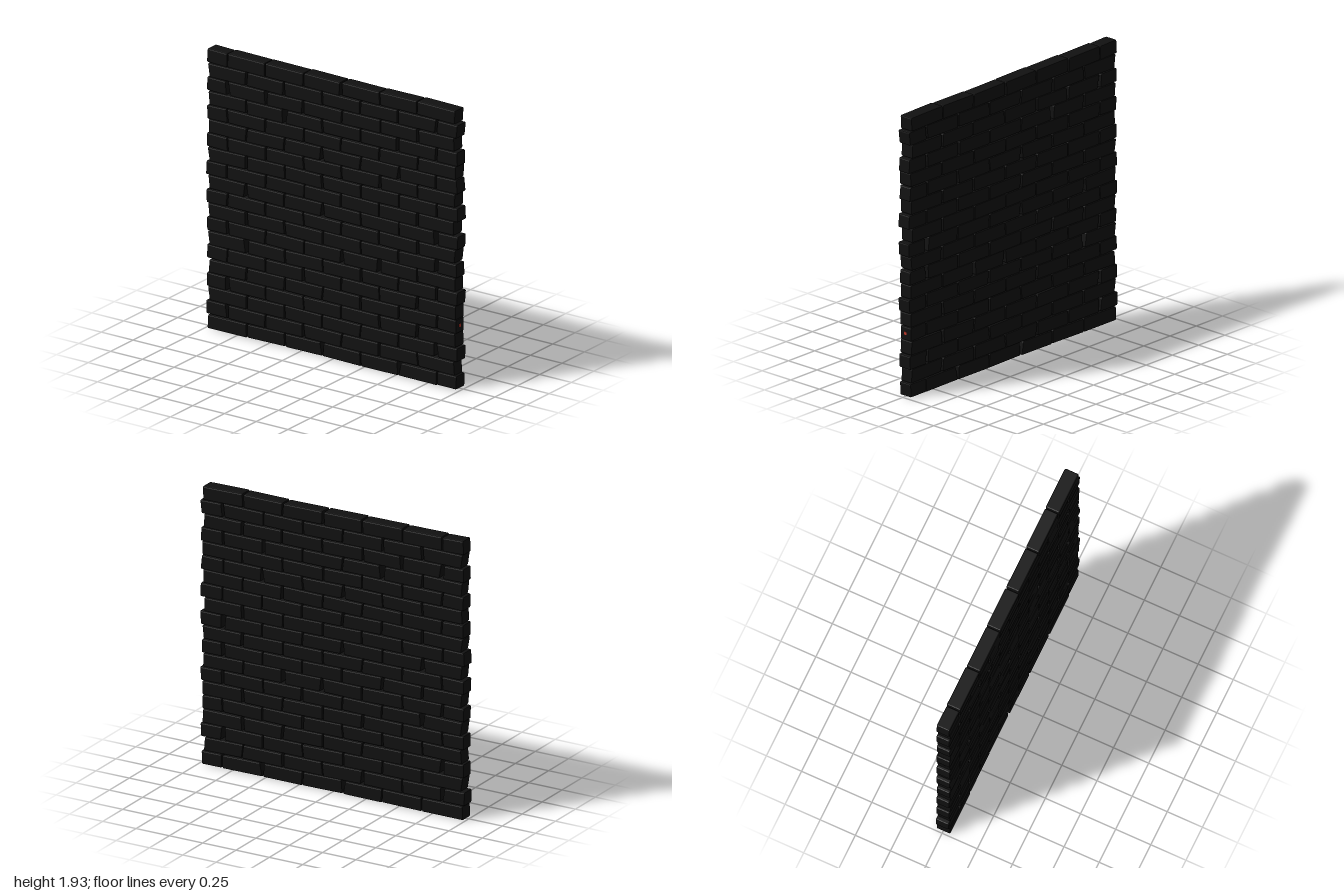
import * as THREE from 'three';
import { RoundedBoxGeometry } from 'three/addons/geometries/RoundedBoxGeometry.js';

const ROWS = 20, PITCH = 0.2995, COURSE = 0.0962, BASE = 0.008, DEPTH = 0.096;

// Wide open joints: row -> [joint index, gap at bottom, gap at top]
const openJoints = {
  1: [[2, 0.006, 0.03], [4, 0.004, 0.03]],
  2: [[0, 0.012, 0.025], [2, 0.02, 0.006], [4, 0.01, 0.014]],
  3: [[0, 0.01, 0.01], [5, 0.03, 0.016]],
  4: [[0, 0.03, 0.018], [5, 0.016, 0.016], [4, 0.01, 0.01]],
  5: [[1, 0.01, 0.004], [3, 0.01, 0.012]],
  6: [[2, 0.016, 0.01], [5, 0.018, 0.012]],
  7: [[0, 0.018, 0.036], [3, 0.012, 0.008], [5, 0.012, 0.012]],
  8: [[0, 0.016, 0.012], [3, 0.03, 0.008], [4, 0.03, 0.022]],
  9: [[0, 0.012, 0.012], [1, 0.014, 0.014], [5, 0.022, 0.022]],
  10: [[5, 0.018, 0.012]],
  11: [[0, 0.034, 0.008], [2, 0.03, 0.004], [5, 0.024, 0.032]],
  12: [[5, 0.014, 0.014]],
  13: [[0, 0.012, 0.012], [2, 0.012, 0.01]],
  14: [[4, 0.018, 0.01]],
  15: [[2, 0.03, 0.004], [4, 0.025, 0.004]],
  17: [[0, 0.014, 0.004], [1, 0.022, 0.04], [4, 0.016, 0.016], [5, 0.012, 0.012]],
  18: [[0, 0.028, 0.018], [1, 0.01, 0.026], [2, 0.014, 0.006], [5, 0.014, 0.014]],
  19: [[0, 0.01, 0.012], [1, 0.014, 0.008], [5, 0.014, 0.012]],
  20: [[3, 0.018, 0.008]],
};

// Seeded value in -1..1
let seed = 17;
function vary(amount) {
  seed = (seed * 16807) % 2147483647;
  return (seed / 2147483647 * 2 - 1) * amount;
}

// Bevelled brick; left and right are its slanted ends as { bottom, top }
function brickGeometry(left, right, y, height, depth) {
  const width = (right.bottom + right.top - left.bottom - left.top) / 2;
  const geometry = new RoundedBoxGeometry(width, height, depth, 1, 0.009);
  const p = geometry.attributes.position;
  const tilt = vary(0.0025);
  for (let i = 0; i < p.count; i++) {
    const u = p.getX(i) / width + 0.5, v = p.getY(i) / height + 0.5;
    const l = THREE.MathUtils.lerp(left.bottom, left.top, v);
    const r = THREE.MathUtils.lerp(right.bottom, right.top, v);
    p.setXY(i, THREE.MathUtils.lerp(l, r, u), y + p.getY(i) + tilt * (u - 0.5) * 2);
  }
  geometry.computeVertexNormals();
  return geometry;
}

export function createModel() {
  const wall = new THREE.Group();
  wall.name = 'brickWall';
  const stone = new THREE.MeshStandardMaterial({ color: 0x111111, flatShading: true });
  const red = new THREE.MeshStandardMaterial({ color: 0xc0392b });

  for (let row = 1; row <= ROWS; row++) {
    const course = new THREE.Group();
    course.name = 'course' + row;
    const odd = row % 2 === 1;
    const first = odd ? -0.677 : -0.826;
    const y = BASE + (row - 0.5) * COURSE;

    // Slanted ends of the bricks, from one side of the wall to the other
    const endL = odd ? -0.975 : -0.988, endR = odd ? 0.985 : 0.968;
    let left = { bottom: endL + vary(0.009), top: endL + vary(0.009) };
    for (let j = 0; j <= 6; j++) {
      let right, next;
      if (j < 6) {
        const open = (openJoints[row] || []).find((o) => o[0] === j) || [j, 0.004, 0.004];
        const x = first + j * PITCH;
        const b = x + vary(0.007), t = x + vary(0.007);
        right = { bottom: b - open[1] / 2, top: t - open[2] / 2 };
        next = { bottom: b + open[1] / 2, top: t + open[2] / 2 };
      } else if (row === 5) {
        right = { bottom: 0.974, top: 0.974 };
      } else {
        right = { bottom: endR + vary(0.01), top: endR + vary(0.01) };
      }
      const geometry = brickGeometry(left, right, y + vary(0.001), COURSE - 0.001 + vary(0.002), DEPTH + vary(0.004));
      const brick = new THREE.Mesh(geometry, stone);
      brick.name = 'brick';
      brick.position.z = vary(0.002);
      course.add(brick);
      left = next;
    }
    wall.add(course);
  }

  // Small red marker set in the end of the fifth course
  const marker = new THREE.Mesh(new THREE.BoxGeometry(0.02, 0.02, 0.02), red);
  marker.name = 'endMarker';
  marker.position.set(0.967, BASE + 4.5 * COURSE, 0);
  wall.add(marker);

  return wall;
}
